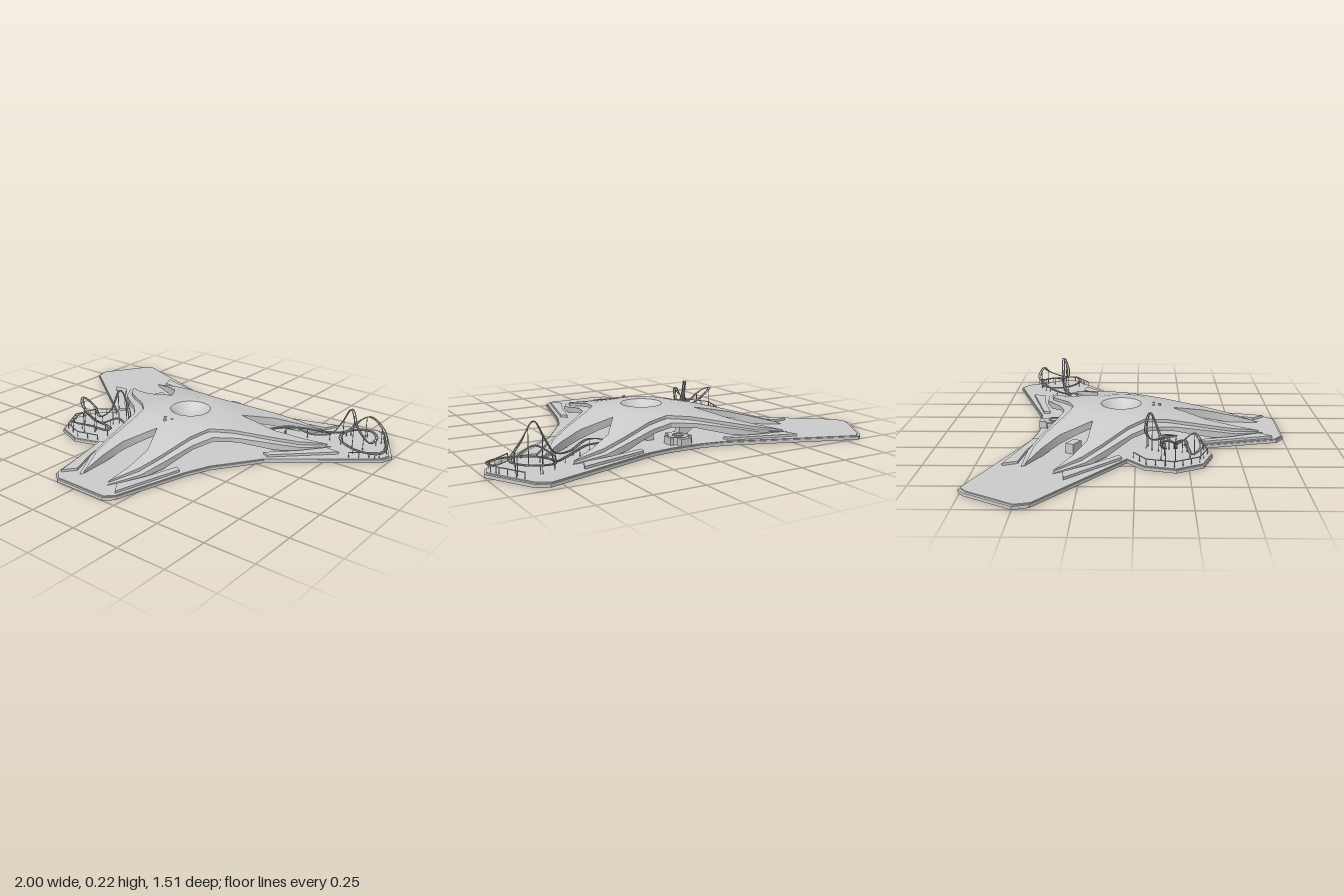
import * as THREE from 'three';
import { mergeGeometries, toCreasedNormals } from 'three/addons/utils/BufferGeometryUtils.js';

const grey = new THREE.MeshStandardMaterial({ color: 0xcccccc, side: THREE.DoubleSide });
const CX = 0.03, CZ = -0.08; // centre of the three-armed roof

function add(parent, name, geometry) {
  const mesh = new THREE.Mesh(geometry, grey);
  mesh.name = name;
  parent.add(mesh);
  return mesh;
}

// Flat plate from [x, z] corners
function slab(points, y0, y1) {
  const shape = new THREE.Shape(points.map(([x, z]) => new THREE.Vector2(x, -z)));
  const g = new THREE.ExtrudeGeometry(shape, { depth: y1 - y0, bevelEnabled: false });
  return g.rotateX(-Math.PI / 2).translate(0, y0, 0);
}

// Repeat a builder for both halves (s = 1, -1) of the three arms
function sixfold(build) {
  const parts = [];
  for (let k = 0; k < 3; k++) for (const s of [1, -1]) {
    parts.push(build(s).rotateY(k * Math.PI * 2 / 3).translate(CX, 0, CZ));
  }
  return mergeGeometries(parts);
}

// Height of the roof falling away from the centre
const roofY = r => 0.15 - 0.218 * Math.max(0, r - 0.17);

// Half of one roof arm: rows run from the inner to the outer edge, given as [across, along]
function halfArm(s, inner, outer, topY, bottomY) {
  const n = 6, pos = [];
  const rows = inner.map((a, i) => Array.from({ length: n + 1 }, (_, j) => {
    const t = j / n, b = outer[i];
    let x = a[0] + (b[0] - a[0]) * t, z = a[1] + (b[1] - a[1]) * t;
    if (i < 2) { // rows round the crater follow arcs
      const r = a[1], angle = t * Math.PI / 3;
      x = r * Math.sin(angle); z = r * Math.cos(angle);
    }
    const r = Math.hypot(x, z);
    return { t: [x * s, topY(r), z], b: [x * s, bottomY(r), z] };
  }));
  const quad = (a, b, c, d) => pos.push(...(s > 0 ? [a, b, c, a, c, d] : [a, c, b, a, d, c]).flat());
  for (let i = 0; i < rows.length - 1; i++) {
    const p = rows[i], q = rows[i + 1];
    for (let j = 0; j < n; j++) {
      quad(p[j].t, q[j].t, q[j + 1].t, p[j + 1].t);
      quad(p[j].b, p[j + 1].b, q[j + 1].b, q[j].b);
    }
    if (i >= 2) {
      quad(p[n].t, q[n].t, q[n].b, p[n].b);
      quad(p[0].t, p[0].b, q[0].b, q[0].t);
    }
  }
  const end = rows.at(-1);
  for (let j = 0; j < n; j++) quad(end[j].t, end[j].b, end[j + 1].b, end[j + 1].t);
  const g = new THREE.BufferGeometry();
  g.setAttribute('position', new THREE.Float32BufferAttribute(pos, 3));
  return g;
}

// Twin rails, ties and posts along a closed path
function coaster(name, points) {
  const group = new THREE.Group();
  group.name = name;
  const curve = new THREE.CatmullRomCurve3(points.map(p => new THREE.Vector3(...p)), true);
  const count = 160, centres = curve.getSpacedPoints(count).slice(0, count);
  const up = new THREE.Vector3(0, 1, 0);
  const sides = centres.map((p, i) => curve.getTangentAt(i / count).cross(up).normalize());
  for (const s of [-1, 1]) {
    const path = new THREE.CatmullRomCurve3(centres.map((p, i) => p.clone().addScaledVector(sides[i], s * 0.006)), true);
    add(group, 'rail', new THREE.TubeGeometry(path, 240, 0.0028, 5, true));
  }
  const ties = [], posts = [];
  centres.forEach((p, i) => {
    if (i % 2 === 0) ties.push(new THREE.BoxGeometry(0.012, 0.002, 0.004)
      .rotateY(Math.atan2(-sides[i].z, sides[i].x)).translate(p.x, p.y, p.z));
    if (i % 8 === 0) posts.push(new THREE.CylinderGeometry(0.002, 0.002, p.y - 0.018, 5)
      .translate(p.x, (p.y + 0.018) / 2, p.z));
  });
  add(group, 'ties', mergeGeometries(ties));
  add(group, 'posts', mergeGeometries(posts));
  return group;
}

// Railing on posts along [x, z] corners
function railing(points) {
  const parts = [];
  for (let i = 0; i < points.length - 1; i++) {
    const [x0, z0] = points[i], [x1, z1] = points[i + 1];
    const length = Math.hypot(x1 - x0, z1 - z0);
    parts.push(new THREE.BoxGeometry(length, 0.004, 0.004)
      .rotateY(-Math.atan2(z1 - z0, x1 - x0)).translate((x0 + x1) / 2, 0.048, (z0 + z1) / 2));
    const n = Math.max(1, Math.round(length / 0.05));
    for (let k = 0; k <= n; k++) parts.push(new THREE.CylinderGeometry(0.002, 0.002, 0.03, 5)
      .translate(x0 + (x1 - x0) * k / n, 0.033, z0 + (z1 - z0) * k / n));
  }
  return mergeGeometries(parts);
}

export function createModel() {
  const model = new THREE.Group();
  model.name = 'threeArmedPark';

  // Ground slab in two thin tiers
  const outline = [[-0.82, -0.76], [-0.86, -0.73], [-1, -0.5], [-0.98, -0.43], [-0.46, -0.04], [-0.55, 0.04],
    [-0.59, 0.19], [-0.52, 0.32], [-0.385, 0.37], [-0.25, 0.33], [-0.16, 0.71], [-0.11, 0.75], [0.18, 0.75],
    [0.22, 0.71], [0.32, 0.33], [0.37, 0.2], [0.53, -0.035], [0.98, -0.4], [1, -0.46], [0.87, -0.69],
    [0.81, -0.72], [0.24, -0.53], [0.11, -0.51], [-0.05, -0.51], [-0.18, -0.53]];
  add(model, 'groundSlab', slab(outline, 0, 0.015));
  add(model, 'paving', slab(outline.map(([x, z]) => [x * 0.988, z * 0.988]), 0.015, 0.02));

  // Roof: an upper shell over a wider lower eave, each arm split by a courtyard
  const inner = [[0, 0.105], [0, 0.17], [0, 0.27], [0.035, 0.345], [0.08, 0.44], [0.09, 0.58], [0.08, 0.715]];
  const upperOuter = [[0.091, 0.0525], [0.147, 0.085], [0.2165, 0.125], [0.188, 0.24], [0.165, 0.44], [0.14, 0.57], [0.086, 0.7]];
  const lowerOuter = [[0.091, 0.0525], [0.147, 0.085], [0.26, 0.15], [0.225, 0.27], [0.195, 0.45], [0.165, 0.585], [0.09, 0.735]];
  const shell = sixfold(s => halfArm(s, inner, upperOuter,
    r => Math.max(0.03, roofY(r)), r => Math.max(0.02, roofY(r) - 0.018)));
  const eave = sixfold(s => halfArm(s, inner, lowerOuter,
    r => Math.max(0.022, roofY(r) - 0.016),
    r => THREE.MathUtils.lerp(Math.max(0.018, roofY(r) - 0.038), 0.018, THREE.MathUtils.smoothstep(r, 0.38, 0.6))));
  add(model, 'roofShell', toCreasedNormals(shell, 0.5));
  add(model, 'roofEave', toCreasedNormals(eave, 0.5));

  // Crater in the middle of the roof
  const dish = [[0, 0.104], [0.035, 0.106], [0.06, 0.117], [0.085, 0.135], [0.106, 0.15]];
  add(model, 'roofCrater', new THREE.LatheGeometry(dish.map(p => new THREE.Vector2(...p)), 36)).position.set(CX, 0, CZ);

  // Roof vents
  for (const [x, z] of [[0, 0.09], [0.045, 0.09], [0.022, 0.12]]) {
    add(model, 'roofVent', new THREE.CylinderGeometry(0.008, 0.008, 0.02, 10)).position.set(x, 0.142, z);
  }

  // Planter strips outside the legs
  add(model, 'planters', sixfold(s => slab(
    [[0.173, 0.77], [0.262, 0.42], [0.232, 0.4], [0.185, 0.57], [0.127, 0.71]].map(([x, z]) => [x * s, z]), 0.02, 0.032)));

  // Tapered piers beside the back entrance
  for (const s of [-1, 1]) {
    const pier = new THREE.Shape([[0.07, 0.02], [0.11, 0.02], [0.2, 0.09], [0.19, 0.1], [0.08, 0.1]]
      .map(([x, y]) => new THREE.Vector2(x * s, y)));
    add(model, 'entrancePier', new THREE.ExtrudeGeometry(pier, { depth: 0.04, bevelEnabled: false }))
      .position.set(CX, 0, -0.33);
  }

  // Entrance kiosk: crossed blocks with a hexagonal ring on top
  const kiosk = new THREE.Group();
  kiosk.name = 'entranceKiosk';
  kiosk.position.set(CX, 0, -0.435);
  add(kiosk, 'kioskBlock', new THREE.BoxGeometry(0.12, 0.035, 0.06)).position.y = 0.0375;
  add(kiosk, 'kioskCrossBlock', new THREE.BoxGeometry(0.055, 0.035, 0.15)).position.y = 0.0385;
  add(kiosk, 'kioskDrum', new THREE.CylinderGeometry(0.055, 0.055, 0.035, 6)).position.y = 0.0395;
  add(kiosk, 'kioskRing', new THREE.TorusGeometry(0.025, 0.004, 6, 12).rotateX(Math.PI / 2)).position.y = 0.058;
  model.add(kiosk);

  // Small pavilion in the right-hand courtyard
  const pavilion = add(model, 'courtyardPavilion', new THREE.BoxGeometry(0.07, 0.05, 0.045));
  pavilion.position.set(-0.355, 0.045, -0.3);
  pavilion.rotation.y = -Math.PI / 6;

  // Roller coasters and the railings round them
  model.add(coaster('wingCoaster', [[0.36, 0.045, -0.29], [0.48, 0.075, -0.36], [0.58, 0.045, -0.4], [0.67, 0.06, -0.44],
    [0.72, 0.13, -0.45], [0.77, 0.215, -0.45], [0.82, 0.13, -0.43], [0.88, 0.06, -0.45], [0.88, 0.06, -0.53],
    [0.82, 0.06, -0.59], [0.73, 0.05, -0.57], [0.705, 0.045, -0.49], [0.75, 0.045, -0.41], [0.87, 0.045, -0.36],
    [0.96, 0.045, -0.39], [0.96, 0.05, -0.47], [0.9, 0.1, -0.56], [0.82, 0.143, -0.58], [0.75, 0.1, -0.6],
    [0.71, 0.05, -0.54], [0.62, 0.045, -0.47], [0.5, 0.06, -0.4], [0.38, 0.045, -0.33]]));
  model.add(coaster('plazaCoaster', [[-0.2, 0.05, 0.2], [-0.22, 0.06, 0.15], [-0.29, 0.08, 0.14], [-0.35, 0.06, 0.2],
    [-0.4, 0.13, 0.28], [-0.45, 0.08, 0.31], [-0.47, 0.05, 0.27], [-0.38, 0.05, 0.25], [-0.27, 0.05, 0.24],
    [-0.3, 0.05, 0.2], [-0.42, 0.06, 0.19], [-0.51, 0.12, 0.18], [-0.54, 0.14, 0.14], [-0.48, 0.1, 0.12],
    [-0.42, 0.06, 0.14], [-0.36, 0.1, 0.12], [-0.33, 0.21, 0.07], [-0.29, 0.1, 0.05], [-0.26, 0.05, 0.08], [-0.22, 0.045, 0.14]]));
  add(model, 'plazaRailing', railing([[-0.44, -0.01], [-0.53, 0.05], [-0.565, 0.18], [-0.5, 0.3], [-0.385, 0.345], [-0.27, 0.315]]));
  add(model, 'wingRailing', railing([[0.84, -0.31], [0.96, -0.4], [0.97, -0.46], [0.88, -0.62]]));

  return model;
}
